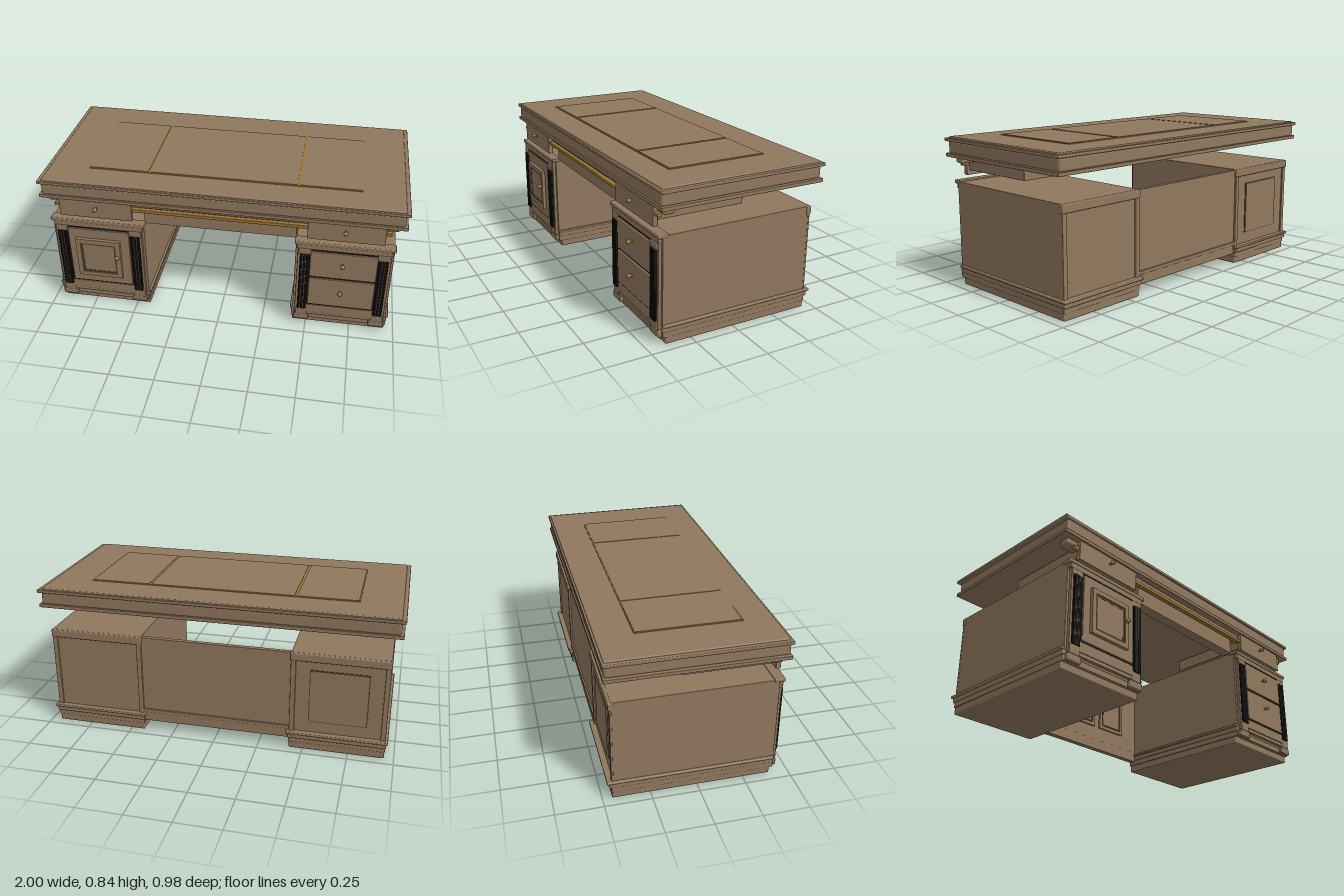
import * as THREE from 'three';
import { RoundedBoxGeometry } from 'three/addons/geometries/RoundedBoxGeometry.js';

const material = (name, color) => {
  const m = new THREE.MeshStandardMaterial({ color });
  m.name = name;
  return m;
};

export function createModel() {
  const wood = material('walnut wood', 0x90785e);
  const brass = material('brass', 0x9c7632);
  const black = material('black inlay', 0x161412);
  const groove = material('dark groove', 0x4d4032);

  const desk = new THREE.Group();
  desk.name = 'desk';

  // Box given by its extents, with optionally rounded edges
  function box(parent, name, mat, [x0, x1], [y0, y1], [z0, z1], r = 0) {
    const w = x1 - x0, h = y1 - y0, d = z1 - z0;
    const geo = r ? new RoundedBoxGeometry(w, h, d, 2, Math.min(r, w / 2.1, h / 2.1, d / 2.1))
      : new THREE.BoxGeometry(w, h, d);
    const mesh = new THREE.Mesh(geo, mat);
    mesh.name = name;
    mesh.position.set((x0 + x1) / 2, (y0 + y1) / 2, (z0 + z1) / 2);
    parent.add(mesh);
    return mesh;
  }

  // Rectangular frame of four bars
  function frame(parent, name, mat, [x0, x1], [y0, y1], z, t) {
    box(parent, name, mat, [x0, x1], [y1 - t, y1], z);
    box(parent, name, mat, [x0, x1], [y0, y0 + t], z);
    box(parent, name, mat, [x0, x0 + t], [y0 + t, y1 - t], z);
    box(parent, name, mat, [x1 - t, x1], [y0 + t, y1 - t], z);
  }

  // Turned knob pointing forward
  const knobProfile = [[0, 0], [0.006, 0], [0.005, 0.012], [0.010, 0.016], [0.013, 0.024],
    [0.010, 0.033], [0, 0.037]].map(([x, y]) => new THREE.Vector2(x, y));
  function knob(parent, x, y, z) {
    const mesh = new THREE.Mesh(new THREE.LatheGeometry(knobProfile, 16), brass);
    mesh.name = 'knob';
    mesh.rotation.x = Math.PI / 2;
    mesh.position.set(x, y, z);
    parent.add(mesh);
  }

  // Tabletop: stacked mouldings
  const top = new THREE.Group();
  top.name = 'tabletop';
  desk.add(top);
  box(top, 'lowerMoulding', wood, [-0.995, 0.995], [0.72, 0.74], [-0.483, 0.447], 0.003);
  box(top, 'tableEdge', wood, [-0.98, 0.98], [0.738, 0.808], [-0.477, 0.442], 0.012);
  box(top, 'upperMoulding', wood, [-1, 1], [0.805, 0.823], [-0.487, 0.449], 0.004);
  box(top, 'tableSurface', wood, [-0.978, 0.978], [0.815, 0.83], [-0.475, 0.437], 0.006);

  // Writing surface: three panels with brass lines between
  box(top, 'brassInlay', brass, [-0.753, 0.753], [0.828, 0.833], [-0.285, 0.277]);
  for (const xs of [[-0.748, -0.417], [-0.403, 0.403], [0.417, 0.748]])
    box(top, 'writingPanel', wood, xs, [0.829, 0.836], [-0.28, 0.27]);

  // Apron and rail under the top
  box(desk, 'apron', wood, [-0.42, 0.42], [0.58, 0.722], [0.337, 0.397]);
  box(desk, 'underMoulding', wood, [-0.957, 0.957], [0.685, 0.722], [0.352, 0.414], 0.012);
  box(desk, 'brassRail', brass, [-0.92, 0.92], [0.665, 0.685], [0.404, 0.43], 0.004);

  for (const s of [-1, 1]) {
    // Upper drawer
    const drawer = new THREE.Group();
    drawer.name = 'upperDrawer';
    drawer.position.x = s * 0.685;
    desk.add(drawer);
    box(drawer, 'drawerBox', wood, [-0.19, 0.19], [0.635, 0.707], [-0.077, 0.412], 0.003);
    box(drawer, 'drawerFront', wood, [-0.205, 0.205], [0.609, 0.722], [0.41, 0.437], 0.003);
    knob(drawer, -s * 0.005, 0.678, 0.436);

    // Pedestal body with stepped base
    const ped = new THREE.Group();
    ped.name = 'pedestal';
    ped.position.x = s * 0.685;
    desk.add(ped);
    box(ped, 'plinth', wood, [-0.262, 0.262], [0, 0.045], [-0.45, 0.396], 0.006);
    box(ped, 'baseStep', wood, [-0.266, 0.266], [0.038, 0.07], [-0.452, 0.414], 0.004);
    box(ped, 'baseMoulding', wood, [-0.269, 0.269], [0.068, 0.096], [-0.465, 0.414], 0.005);
    box(ped, 'baseBead', wood, [-0.277, 0.277], [0.095, 0.11], [-0.475, 0.414], 0.005);
    box(ped, 'pedestalBody', wood, [-0.263, 0.263], [0.105, 0.581], [-0.443, 0.415], 0.003);

    // Front frame
    box(ped, 'frontFrame', wood, [-0.25, 0.25], [0.08, 0.57], [0.41, 0.432], 0.003);
    box(ped, 'topMoulding', wood, [-0.268, 0.268], [0.568, 0.589], [0.385, 0.441], 0.005);
    box(ped, 'topFrieze', wood, [-0.255, 0.255], [0.54, 0.57], [0.41, 0.436], 0.003);
    box(ped, 'bottomRail', wood, [-0.185, 0.185], [0.1, 0.155], [0.42, 0.437], 0.004);

    // Fluted corner columns
    for (const c of [-1, 1]) {
      const column = new THREE.Group();
      column.name = 'flutedColumn';
      column.position.x = c * 0.212;
      ped.add(column);
      box(column, 'columnCore', black, [-0.025, 0.025], [0.125, 0.508], [0.425, 0.439]);
      for (let i = -1; i <= 1; i++)
        box(column, 'columnReed', black, [i * 0.016 - 0.006, i * 0.016 + 0.006], [0.125, 0.508], [0.435, 0.447], 0.004);
      for (const x of [-0.008, 0.008])
        box(column, 'woodFillet', wood, [x - 0.0015, x + 0.0015], [0.127, 0.506], [0.438, 0.443]);
      box(column, 'capital', wood, [-0.034, 0.034], [0.505, 0.54], [0.415, 0.44], 0.005);
      box(column, 'columnBase', wood, [-0.032, 0.032], [0.075, 0.13], [0.41, 0.437], 0.006);
      box(column, 'columnFoot', wood, [-0.043, 0.043], [0.04, 0.078], [0.4, 0.434], 0.005);
      // Back posts
      const px = c * 0.25;
      box(ped, 'backPost', wood, [px - 0.014, px + 0.014], [0.108, 0.54], [-0.452, -0.44], 0.003);
    }
    box(ped, 'backTopRail', wood, [-0.266, 0.266], [0.535, 0.58], [-0.459, -0.43], 0.006);
    box(ped, 'frontRecess', black, [-0.187, 0.187], [0.155, 0.54], [0.425, 0.434]);

    if (s > 0) {
      // Two stacked drawers
      for (const [y0, y1, ky] of [[0.36, 0.53, 0.46], [0.163, 0.35, 0.273]]) {
        box(ped, 'lowerDrawerFront', wood, [-0.18, 0.18], [y0, y1], [0.42, 0.442], 0.004);
        knob(ped, -0.005, ky, 0.44);
      }
    } else {
      // Panelled door
      box(ped, 'door', wood, [-0.175, 0.178], [0.163, 0.53], [0.42, 0.443], 0.004);
      frame(ped, 'doorMoulding', wood, [-0.13, 0.126], [0.218, 0.47], [0.44, 0.462], 0.026);
      frame(ped, 'doorGroove', groove, [-0.104, 0.1], [0.244, 0.444], [0.44, 0.456], 0.012);
      box(ped, 'doorPanel', wood, [-0.092, 0.088], [0.256, 0.432], [0.44, 0.455]);
      knob(ped, 0.108, 0.37, 0.452);
      // Framed panel on the back
      frame(ped, 'backPanelGroove', groove, [-0.16, 0.16], [0.175, 0.485], [-0.446, -0.44], 0.005);
      box(ped, 'backPanel', wood, [-0.155, 0.155], [0.18, 0.48], [-0.45, -0.44]);
    }
  }

  // Modesty panel between the pedestals
  const back = new THREE.Group();
  back.name = 'modestyPanel';
  desk.add(back);
  box(back, 'panelBoard', wood, [-0.425, 0.425], [0.13, 0.575], [-0.44, -0.415]);
  box(back, 'lowerRail', wood, [-0.425, 0.425], [0.06, 0.122], [-0.445, -0.41], 0.003);
  box(back, 'railBead', wood, [-0.425, 0.425], [0.115, 0.135], [-0.45, -0.415], 0.003);
  for (const x of [-0.3, -0.055, 0.19]) {
    frame(back, 'panelMoulding', wood, [x - 0.1, x + 0.1], [0.205, 0.5], [-0.417, -0.402], 0.02);
    frame(back, 'panelGroove', groove, [x - 0.08, x + 0.08], [0.225, 0.48], [-0.417, -0.41], 0.01);
    box(back, 'raisedPanel', wood, [x - 0.07, x + 0.07], [0.235, 0.47], [-0.417, -0.406]);
  }

  return desk;
}
